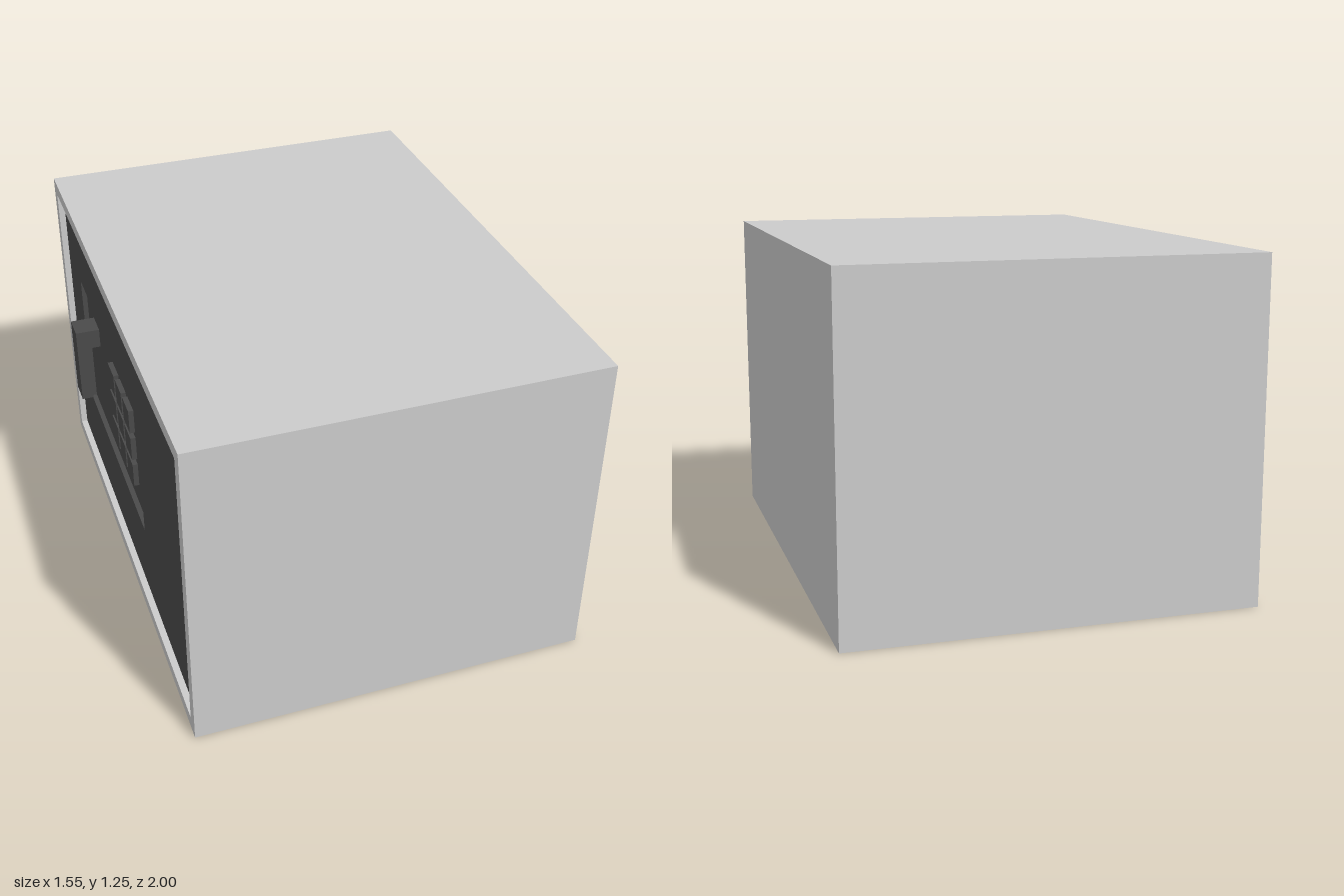
import * as THREE from 'three';

const grey = new THREE.MeshStandardMaterial({ color: 0xcccccc, flatShading: true });
const dark = new THREE.MeshStandardMaterial({ color: 0x4a4a4a, flatShading: true });

// Local frame of the safe: u along the door, y up, w out of the door.
// Areas are [u0, u1, y0, y1].
function rect(Type, [u0, u1, y0, y1]) {
  const r = new Type();
  r.moveTo(u0, y0);
  r.lineTo(u1, y0);
  r.lineTo(u1, y1);
  r.lineTo(u0, y1);
  r.closePath();
  return r;
}

// Slab over an area between depths w0 and w1, with an optional opening
function slab(name, material, area, w0, w1, hole) {
  const shape = rect(THREE.Shape, area);
  if (hole) shape.holes.push(rect(THREE.Path, hole));
  const geometry = new THREE.ExtrudeGeometry(shape, { depth: w1 - w0, bevelEnabled: false });
  geometry.translate(0, 0, w0);
  const mesh = new THREE.Mesh(geometry, material);
  mesh.name = name;
  return mesh;
}

export function createModel() {
  const model = new THREE.Group();
  model.name = 'safe';
  const safe = new THREE.Group();
  safe.name = 'safeBody';
  safe.rotation.y = -Math.PI / 2; // the door faces -x
  model.add(safe);

  const outer = [-1, 1, 0, 1.25];
  const opening = [-0.95, 0.95, 0.05, 1.2];
  const recess = [-0.72, 0.24, 0.34, 0.91];

  // Casing and the rim around the door
  safe.add(slab('casing', grey, outer, -0.775, 0.62));
  safe.add(slab('doorFrame', grey, outer, 0.62, 0.725, opening));

  // Door set back in the rim, with a sunken control panel
  safe.add(slab('door', dark, opening, 0.62, 0.7, recess));
  safe.add(slab('controlPanel', dark, recess, 0.62, 0.68));

  // Raised keys in a 3 x 3 grid
  const keypad = new THREE.Group();
  keypad.name = 'keypad';
  for (let row = 0; row < 3; row++) {
    for (let col = 0; col < 3; col++) {
      const u = -0.25 + col * 0.125;
      const y = 0.45 + row * 0.125;
      keypad.add(slab('key', dark, [u, u + 0.1, y, y + 0.1], 0.68, 0.7));
    }
  }
  safe.add(keypad);

  // L-shaped handle: side profile in x and y, extruded along z
  const profile = new THREE.Shape(
    [[-0.775, 0.48], [-0.73, 0.48], [-0.73, 0.72], [-0.68, 0.72], [-0.68, 0.8], [-0.775, 0.8]]
      .map(([x, y]) => new THREE.Vector2(x, y)));
  const handle = new THREE.Mesh(
    new THREE.ExtrudeGeometry(profile, { depth: 0.1, bevelEnabled: false }), dark);
  handle.name = 'handle';
  handle.position.z = -0.6;
  model.add(handle);

  return model;
}
